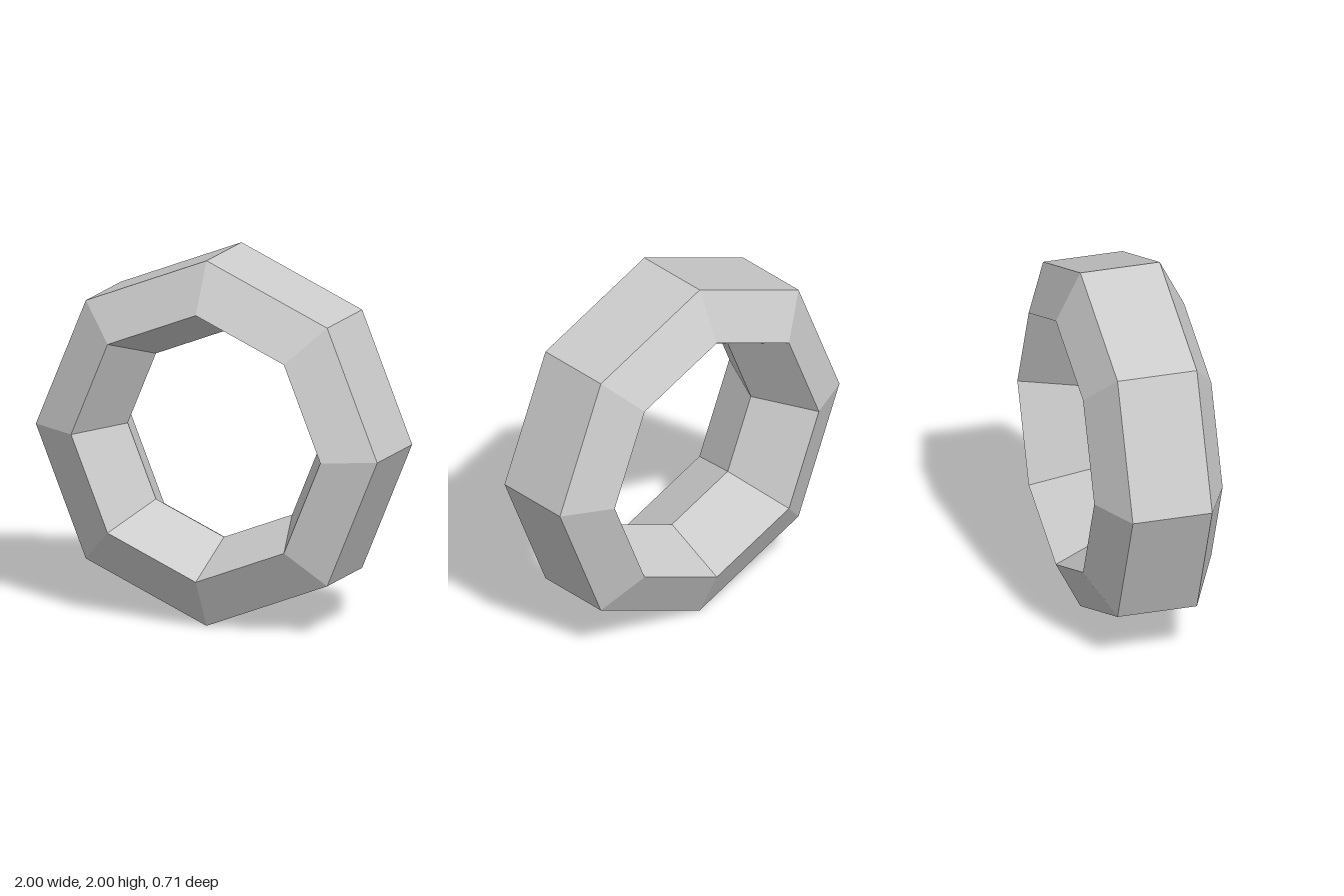
import * as THREE from 'three';

export function createModel() {
  const group = new THREE.Group();
  group.name = 'octagonalRing';

  // Pentagonal cross-section: flat side outwards, point towards the hole
  const ringRadius = 0.805, radial = 0.241, depth = 0.373;
  const profile = [];
  for (let i = 0; i <= 5; i++) {
    const a = ((i % 5) * 72 - 36) * Math.PI / 180;
    profile.push(new THREE.Vector2(ringRadius + radial * Math.cos(a), depth * Math.sin(a)));
  }

  // Sweep in eight straight segments, then stand the ring upright
  const geometry = new THREE.LatheGeometry(profile, 8);
  geometry.rotateX(Math.PI / 2);
  const ring = new THREE.Mesh(
    geometry,
    new THREE.MeshStandardMaterial({ color: 0xcccccc, flatShading: true })
  );
  ring.name = 'ring';
  ring.position.y = 1;
  group.add(ring);
  return group;
}
